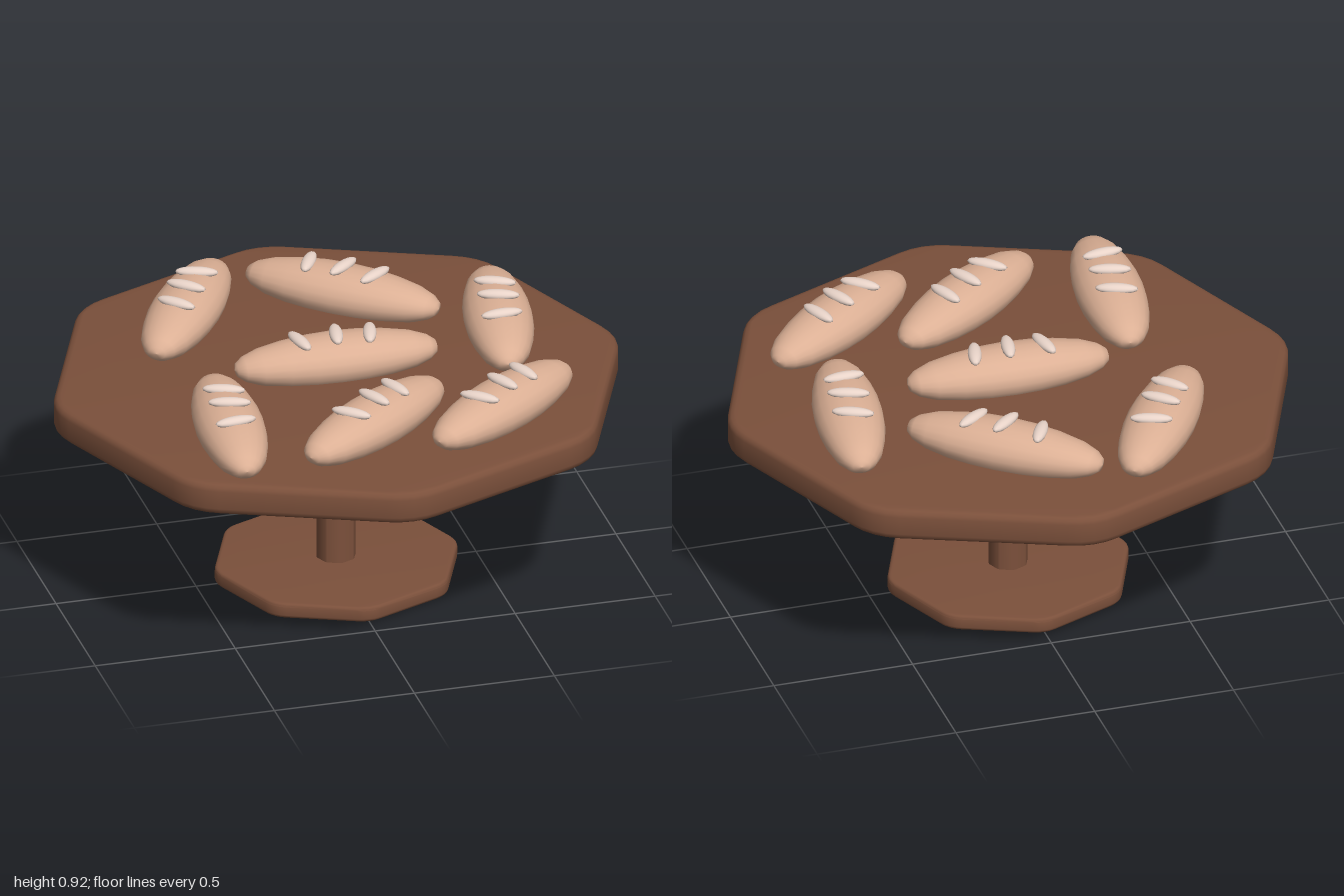
import * as THREE from 'three';
import { toCreasedNormals } from 'three/addons/utils/BufferGeometryUtils.js';

const wood = new THREE.MeshStandardMaterial({ color: 0x7b503b });
const crust = new THREE.MeshStandardMaterial({ color: 0xdcb095 });
const flour = new THREE.MeshStandardMaterial({ color: 0xe8d3c8 });

// Octagonal slab with softened corners and bevelled rims, from y0 to y1
function octagonSlab(name, radius, corner, y0, y1, bevel) {
  const r = radius - bevel;
  const pts = [];
  for (let i = 0; i < 8; i++) {
    const a = (i * Math.PI) / 4;
    pts.push(new THREE.Vector2(r * Math.cos(a), r * Math.sin(a)));
  }
  const toward = (p, q) => p.clone().add(q.clone().sub(p).setLength(corner));
  const shape = new THREE.Shape();
  pts.forEach((p, i) => {
    const a = toward(p, pts[(i + 7) % 8]);
    const b = toward(p, pts[(i + 1) % 8]);
    if (i === 0) shape.moveTo(a.x, a.y);
    else shape.lineTo(a.x, a.y);
    shape.quadraticCurveTo(p.x, p.y, b.x, b.y);
  });
  shape.closePath();
  const geo = new THREE.ExtrudeGeometry(shape, {
    depth: y1 - y0 - 2 * bevel,
    curveSegments: 4,
    bevelEnabled: bevel > 0,
    bevelSize: bevel,
    bevelThickness: bevel,
    bevelSegments: 3,
  });
  geo.rotateX(-Math.PI / 2);
  geo.translate(0, y0 + bevel, 0);
  const mesh = new THREE.Mesh(toCreasedNormals(geo, 0.75), wood);
  mesh.name = name;
  return mesh;
}

// Loaf body: blunt spindle lying along x, flattened in height
const half = [[0, 0.362], [0.03, 0.355], [0.056, 0.328], [0.083, 0.27], [0.104, 0.18], [0.116, 0.09]];
const profile = [
  ...half.map(([r, x]) => new THREE.Vector2(r, -x)),
  new THREE.Vector2(0.12, 0),
  ...half.slice().reverse().map(([r, x]) => new THREE.Vector2(r, x)),
];
const loafGeo = new THREE.LatheGeometry(profile, 20);
loafGeo.rotateZ(-Math.PI / 2);
loafGeo.scale(1, 0.74, 1);

// Score mark: small ellipsoid lying along z
const scoreGeo = new THREE.SphereGeometry(1, 14, 10);
scoreGeo.scale(0.024, 0.018, 0.075);

// Each score: position along the loaf, height, tilt in degrees
const scores = [[-0.13, 0.082, 12], [0, 0.091, -10], [0.12, 0.082, -15]];

function makeLoaf(x, z, degrees) {
  const loaf = new THREE.Group();
  loaf.name = 'loaf';
  const body = new THREE.Mesh(loafGeo, crust);
  body.name = 'loafBody';
  loaf.add(body);
  for (const [sx, sy, tilt] of scores) {
    const score = new THREE.Mesh(scoreGeo, flour);
    score.name = 'scoreMark';
    score.position.set(sx, sy, 0);
    score.rotation.y = THREE.MathUtils.degToRad(tilt);
    loaf.add(score);
  }
  loaf.position.set(x, 0.81, z);
  loaf.rotation.y = THREE.MathUtils.degToRad(degrees);
  return loaf;
}

export function createModel() {
  const model = new THREE.Group();
  model.name = 'breadTable';

  // Pedestal table
  model.add(octagonSlab('tableTop', 1.017, 0.09, 0.65, 0.765, 0.025));
  model.add(octagonSlab('post', 0.071, 0.01, 0.04, 0.67, 0));
  model.add(octagonSlab('base', 0.437, 0.04, 0, 0.055, 0.012));

  // Loaves: x, z, heading in degrees
  const loaves = [
    [0, 0, 0],
    [-0.395, -0.5, 238],
    [0.165, -0.5, -40],
    [0.62, -0.145, 80],
    [-0.495, 0.41, 84],
    [-0.005, 0.505, 37.5],
    [0.453, 0.505, 37.5],
  ];
  for (const [x, z, a] of loaves) model.add(makeLoaf(x, z, a));
  return model;
}
